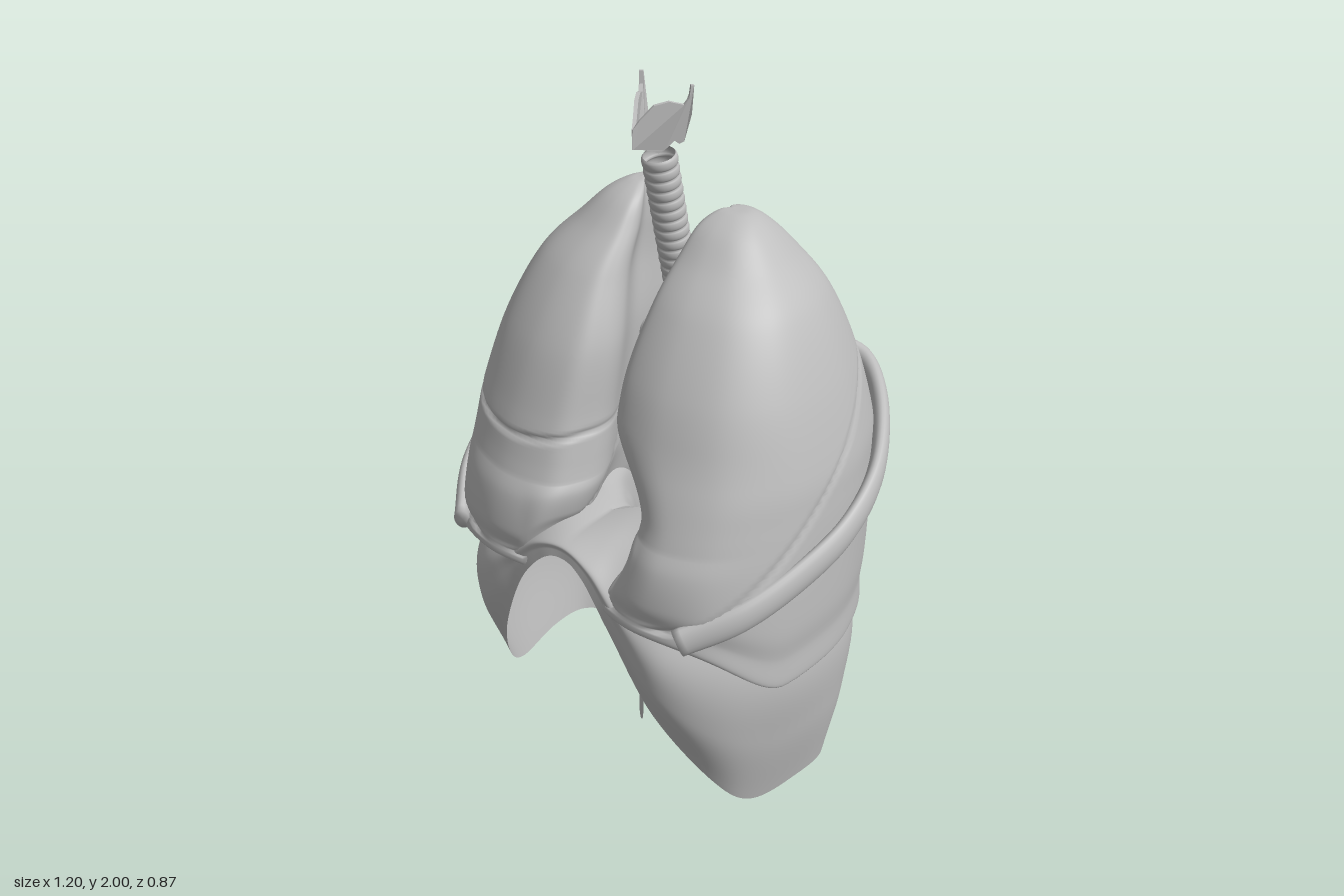
import * as THREE from 'three';

const V = (x, y, z) => new THREE.Vector3(x, y, z);
const tissue = new THREE.MeshStandardMaterial({ color: 0xbdbdbd, side: THREE.DoubleSide });
tissue.name = 'tissue grey';
const { smoothstep } = THREE.MathUtils;

function add(group, name, geometry) {
  const mesh = new THREE.Mesh(geometry, tissue);
  mesh.name = name;
  group.add(mesh);
  return mesh;
}

// Smooth surface from rings: f(u, v) gives a point, u wraps round
function ringSurface(nu, nv, f) {
  const pos = [], idx = [];
  for (let j = 0; j <= nv; j++) {
    for (let i = 0; i < nu; i++) {
      const p = f(i / nu, j / nv);
      pos.push(p.x, p.y, p.z);
      if (j === nv) continue;
      const a = j * nu + i, b = j * nu + (i + 1) % nu;
      idx.push(a, a + nu, b, b, a + nu, b + nu);
    }
  }
  const g = new THREE.BufferGeometry();
  g.setAttribute('position', new THREE.Float32BufferAttribute(pos, 3));
  g.setIndex(idx);
  g.computeVertexNormals();
  return g;
}

const curve = (pts, closed = false) => new THREE.CatmullRomCurve3(pts, closed, 'catmullrom');

// Kidney-shaped lung section: u from inner to outer side, v from back to front
const section = curve([
  [0.02, 0.89], [0, 0.76], [0.16, 0.54], [0.09, 0.31], [0.21, 0.1], [0.48, 0], [0.78, 0.07],
  [0.95, 0.28], [1, 0.5], [0.95, 0.74], [0.75, 0.92], [0.42, 1], [0.13, 0.975],
].map(([u, v]) => V(u, v, 0)), true);

// Lung levels: y, inner x, outer x, back z, front z
const rightLevels = [
  [0.93, 0.3, 0.3, 0.04, 0.04], [0.76, 0.2, 0.45, -0.2, 0.26], [0.57, 0.075, 0.553, -0.335, 0.415],
  [0.66, 0.06, 0.553, -0.345, 0.425], [0.75, 0.045, 0.546, -0.355, 0.43], [0.92, 0.03, 0.537, -0.37, 0.412],
  [1.05, 0.035, 0.53, -0.37, 0.372], [1.16, 0.04, 0.515, -0.36, 0.338], [1.34, 0.04, 0.462, -0.32, 0.275],
  [1.5, 0.07, 0.386, -0.26, 0.18], [1.6, 0.085, 0.295, -0.2, 0.085], [1.66, 0.1, 0.235, -0.15, 0.025],
  [1.69, 0.125, 0.185, -0.11, -0.03], [1.695, 0.15, 0.15, -0.07, -0.07],
];
// the left lung is a little broader
const leftLevels = rightLevels.map(([y, a, b, c, d], i) => [
  y, y > 1.1 && y < 1.4 ? a + 0.012 : a,
  i === 0 || i === 13 ? a : b + 0.02 * smoothstep(y, 0.6, 0.8), c, d,
]);

function lung(levels, left) {
  const xs = curve(levels.map((l) => V(l[0], l[1], l[2])));
  const zs = curve(levels.map((l) => V(l[0], l[3], l[4])));
  return ringSurface(112, 170, (u, t) => {
    const s = section.getPoint(u), a = xs.getPoint(t), b = zs.getPoint(t);
    let x = a.y + (a.z - a.y) * s.x, y = a.x, z = b.y + (b.z - b.y) * s.y;
    // lower border rises towards the front and the midline
    const low = Math.max(0, Math.min(1, (1 - y) / 0.43));
    const front = 0.18 * smoothstep(z, 0.16, 0.44);
    const reach = 0.34 - 0.1 * smoothstep(z, 0.1, 0.3);
    const inner = 0.28 * smoothstep(z, -0.3, -0.02) * (1 - smoothstep(x, 0.06, reach));
    y += low * Math.max(front, inner);
    // heart notch in the left lung
    if (left) {
      const bump = smoothstep(y, 0.7, 0.98) * (1 - smoothstep(y, 1.02, 1.24));
      x += 0.17 * bump * smoothstep(z, 0.04, 0.26) * (1 - s.x) ** 1.5;
    }
    // grooves between the lobes
    const oblique = (y - (0.78 + (0.41 - z) * 0.82)) * 0.77;
    const level = y - (1.1 + 0.6 * (x - 0.25) ** 2);
    let g = Math.exp(-((oblique / 0.007) ** 2));
    if (!left && oblique > 0) g = Math.max(g, Math.exp(-((level / 0.007) ** 2)));
    const k = t > 0.2 ? 0.03 * g : 0;
    x += ((a.y + a.z) / 2 - x) * k;
    z += ((b.y + b.z) / 2 - z) * k;
    return V(left ? x : -x, y, z);
  });
}

// Diaphragm half outline: rim x y z, then shoulder x y z, from front to back
const half = [
  [0, 0.83, 0.405, 0, 0.87, 0.4], [0.075, 0.8, 0.41, 0.1, 0.845, 0.405], [0.165, 0.68, 0.41, 0.2, 0.77, 0.41],
  [0.28, 0.44, 0.37, 0.33, 0.7, 0.395], [0.4, 0.2, 0.26, 0.45, 0.64, 0.29], [0.455, 0.1, 0.16, 0.525, 0.6, 0.15],
  [0.49, 0.1, 0, 0.545, 0.6, 0.02], [0.485, 0.1, -0.12, 0.52, 0.6, -0.14], [0.41, 0.1, -0.19, 0.45, 0.6, -0.25],
  [0.34, 0.13, -0.24, 0.37, 0.6, -0.3], [0.27, 0.28, -0.26, 0.29, 0.6, -0.275], [0.17, 0.36, -0.16, 0.2, 0.62, -0.17],
  [0.1, 0.3, 0, 0.125, 0.7, -0.02], [0.075, 0.18, 0.045, 0.085, 0.72, 0.03], [0.05, 0.18, 0.055, 0.065, 0.74, 0.055],
  [0.05, 0.36, 0.06, 0.05, 0.75, 0.07], [0.035, 0.45, 0.07, 0.03, 0.77, 0.09], [0, 0.475, 0.08, 0, 0.78, 0.1],
];

function diaphragm() {
  const rim = [], shoulder = [];
  const put = (r, s) => {
    // the right strand at the back reaches further down
    const y = s < 0 && r[1] === 0.18 ? 0.04 : r[1];
    rim.push(V(s * r[0], y, r[2]));
    shoulder.push(V(s * r[3], r[4], r[5]));
  };
  half.forEach((r) => put(r, 1));
  half.slice(1, -1).reverse().forEach((r) => put(r, -1));
  const R = curve(rim, true), S = curve(shoulder, true);
  const columns = new Map();
  return ringSurface(272, 40, (u, t) => {
    if (!columns.has(u)) {
      const a = R.getPoint(u), b = S.getPoint(u), ax = Math.abs(b.x);
      const c = V(b.x * 0.5, 0.89 + 0.15 * ax, 0.22 - 0.3 * ax);
      const mid = a.clone().lerp(b, 0.5);
      mid.x += Math.sign(b.x) * 0.02 * smoothstep(ax, 0.25, 0.5);
      mid.z += 0.035 * smoothstep(b.z, 0.1, 0.35) * smoothstep(ax, 0.15, 0.4);
      mid.z -= 0.015 * smoothstep(-b.z, 0.1, 0.25);
      const roof = b.clone().lerp(c, 0.4);
      roof.y = b.y + (c.y - b.y) * 0.75;
      columns.set(u, curve([a, mid, b, roof, c]));
    }
    return columns.get(u).getPoint(t);
  });
}

// Flattened rib sweeping from the front round to the back
function rib(side) {
  const path = curve([
    [0.395, 0.77, 0.405], [0.5, 0.835, 0.28], [0.56, 0.91, 0.12], [0.58, 0.98, -0.03], [0.548, 1.06, -0.18],
    [0.45, 1.15, -0.325], [0.33, 1.21, -0.412], [0.22, 1.24, -0.375], [0.15, 1.25, -0.335], [0.09, 1.235, -0.275],
  ].map((p) => V(side * p[0], p[1], p[2])));
  return ringSurface(20, 82, (u, t) => {
    const v = Math.max(0, Math.min(1, (t * 82 - 1) / 80));
    const p = path.getPoint(v), tan = path.getTangent(v);
    const out = V(tan.z, 0, -tan.x).normalize(), up = V(0, 1, 0).addScaledVector(tan, -tan.y).normalize();
    const cap = t === 0 || t === 1 ? 0 : 1;
    const head = smoothstep(v, 0.84, 0.93);
    const h = 0.042 + 0.012 * head - 0.014 * smoothstep(v, 0.4, 0.7);
    return p.addScaledVector(out, cap * (0.022 + 0.006 * head) * Math.cos(u * 2 * Math.PI))
      .addScaledVector(up, cap * h * Math.sin(u * 2 * Math.PI));
  });
}

const tube = (pts, r) => new THREE.TubeGeometry(curve(pts.map((p) => V(...p))), 24, r, 14);

function windpipe(group) {
  // ringed tube leaning forward at the top
  const profile = [], n = 15, length = 0.42;
  for (let i = 0; i <= n * 8; i++) {
    profile.push(new THREE.Vector2(0.04 + 0.005 * Math.sqrt(Math.abs(Math.sin(Math.PI * i / 8))), (i / (n * 8)) * length));
  }
  const pipe = add(group, 'trachea', new THREE.LatheGeometry(profile, 32));
  pipe.position.set(0, 1.41, -0.06);
  pipe.rotation.x = 0.22;
  for (const s of [1, -1]) {
    const branch = new THREE.Group();
    branch.name = s > 0 ? 'leftBronchus' : 'rightBronchus';
    add(branch, 'mainBranch', tube([[0, 1.43, -0.06], [s * 0.03, 1.37, -0.075], [s * 0.1, 1.3, -0.09], [s * 0.2, 1.22, -0.08]], 0.03));
    add(branch, 'upperBranch', tube([[s * 0.08, 1.31, -0.09], [s * 0.14, 1.33, -0.07], [s * 0.2, 1.4, -0.06]], 0.02));
    add(branch, 'lowerBranch', tube([[s * 0.1, 1.29, -0.09], [s * 0.14, 1.16, -0.09], [s * 0.2, 1, -0.1]], 0.022));
    group.add(branch);
  }
  add(group, 'lungArtery', tube([[-0.16, 1.27, -0.05], [-0.05, 1.305, -0.04], [0.05, 1.305, -0.04], [0.16, 1.28, -0.06]], 0.035));
}

// Shield cartilage: two thin plates meeting at the front, narrowing downwards
function larynx() {
  const g = new THREE.Group();
  g.name = 'larynx';
  const shape = new THREE.Shape([
    [0, 1.905], [0.12, 1.925], [0.35, 1.958], [0.6, 1.965], [0.84, 1.955], [0.92, 1.97], [0.95, 2], [1, 2],
    [1, 1.93], [0.97, 1.86], [0.88, 1.855], [0.78, 1.865], [0.62, 1.845], [0.5, 1.838], [0.38, 1.845], [0.2, 1.852], [0, 1.856],
  ].map(([s, y]) => new THREE.Vector2(s * 0.145, y)));
  const plate = new THREE.ExtrudeGeometry(shape, { depth: 0.01, bevelEnabled: false });
  plate.rotateY(0.954).translate(-0.006, 0, 0.117);
  const p = plate.attributes.position;
  for (let i = 0; i < p.count; i++) {
    p.setX(i, p.getX(i) * (1 - 3 * Math.max(0, 1.955 - p.getY(i))));
  }
  plate.computeVertexNormals();
  add(g, 'leftPlate', plate);
  add(g, 'rightPlate', plate).scale.x = -1;
  return g;
}

export function createModel() {
  const model = new THREE.Group();
  model.name = 'chestOrgans';
  add(model, 'rightLung', lung(rightLevels, false));
  add(model, 'leftLung', lung(leftLevels, true));
  add(model, 'diaphragm', diaphragm());
  add(model, 'leftRib', rib(1));
  add(model, 'rightRib', rib(-1));
  windpipe(model);
  model.add(larynx());
  return model;
}
